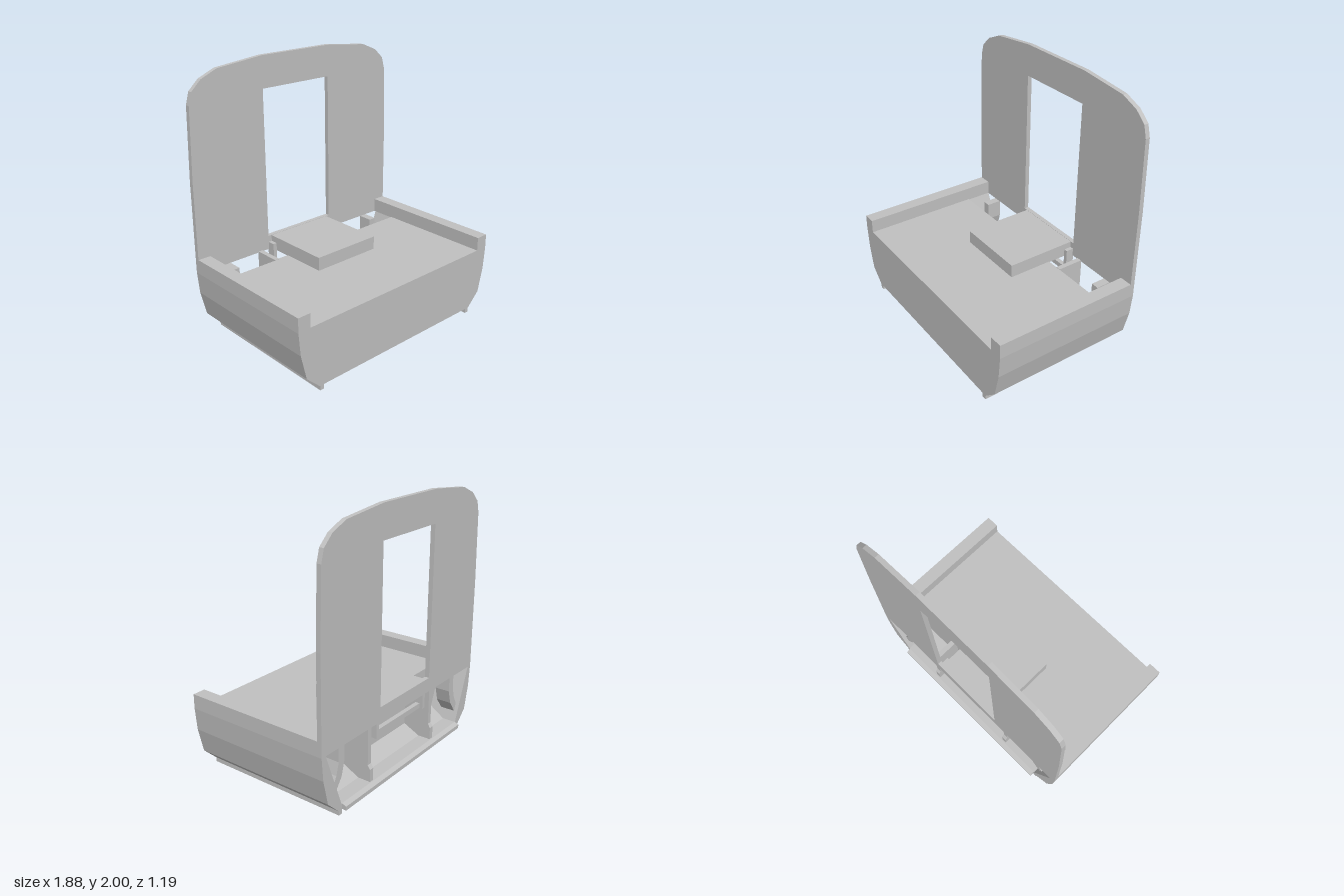
import * as THREE from 'three';

const grey = new THREE.MeshStandardMaterial({ color: 0xc0c0c0 });
grey.name = 'plain grey';

const polygon = (points) => new THREE.Shape(points.map(([x, y]) => new THREE.Vector2(x, y)));
const mirrored = (half) => [...half, ...half.map(([x, y]) => [-x, y]).reverse()];
const flip = (points) => points.map(([x, y]) => [-x, y]);

export function createModel() {
  const model = new THREE.Group();
  model.name = 'cabBody';

  const add = (name, geometry) => {
    const mesh = new THREE.Mesh(geometry, grey);
    mesh.name = name;
    model.add(mesh);
    return mesh;
  };
  // Box given by its limits on each axis
  const box = (name, x0, x1, y0, y1, z0, z1) =>
    add(name, new THREE.BoxGeometry(x1 - x0, y1 - y0, z1 - z0))
      .position.set((x0 + x1) / 2, (y0 + y1) / 2, (z0 + z1) / 2);
  // Outline in x, y pushed along z
  const slab = (name, shape, z0, z1) =>
    add(name, new THREE.ExtrudeGeometry(shape, { depth: z1 - z0, bevelEnabled: false }))
      .position.set(0, 0, z0);
  // Outline in z, y pushed along x
  const sidePlate = (name, points, x0, x1) => {
    const mesh = add(name, new THREE.ExtrudeGeometry(polygon(flip(points)), { depth: x1 - x0, bevelEnabled: false }));
    mesh.rotation.y = Math.PI / 2;
    mesh.position.x = x0;
  };

  // Solid lower body with raised side rails
  slab('lowerBody', polygon(mirrored([
    [0.77, 0.035], [0.88, 0.14], [0.925, 0.33], [0.94, 0.5],
    [0.94, 0.61], [0.84, 0.61], [0.84, 0.505],
  ])), -0.32, 0.595);

  // Upright rear wall with its doorway
  const wall = polygon(mirrored([
    [0.94, 0.5], [0.94, 1.2], [0.925, 1.74], [0.9, 1.83],
    [0.82, 1.905], [0.69, 1.96], [0.31, 2],
  ]));
  wall.holes.push(polygon([[-0.31, 0.61], [0.31, 0.61], [0.31, 1.76], [-0.31, 1.76]]));
  slab('rearWall', wall, -0.56, -0.525);

  // Floor of the rear bay, rising toward the body, and the tab behind it
  sidePlate('bayFloor', [[-0.56, 0.035], [-0.32, 0.035], [-0.32, 0.14], [-0.45, 0.075], [-0.56, 0.075]], -0.77, 0.77);
  sidePlate('rearTab', [[-0.595, 0.035], [-0.56, 0.035], [-0.56, 0.078], [-0.595, 0.065]], -0.735, 0.735);

  for (const side of [-1, 1]) {
    const span = (a, b) => (side > 0 ? [a, b] : [-b, -a]);
    const outline = (points) => polygon(side > 0 ? points : flip(points));

    // Tapered shell closing the side of the bay
    slab('bayShell', outline([
      [0.74, 0.035], [0.77, 0.035], [0.88, 0.14], [0.925, 0.33], [0.94, 0.5], [0.9, 0.5], [0.74, 0.075],
    ]), -0.56, -0.32);
    box('railEnd', ...span(0.84, 0.94), 0.5, 0.61, -0.525, -0.32);

    // Curved bracket inside the shell
    slab('curvedBracket', outline([
      [0.67, 0.5], [0.67, 0.36], [0.7, 0.25], [0.78, 0.14], [0.8, 0.2],
      [0.755, 0.28], [0.73, 0.37], [0.73, 0.5],
    ]), -0.53, -0.41);

    // Upright rib across the bay
    sidePlate('bayRib', [[-0.32, 0.06], [-0.32, 0.508], [-0.53, 0.508], [-0.53, 0.2],
      [-0.55, 0.17], [-0.55, 0.07]], ...span(0.37, 0.408));

    // Bracket beside the raised box and runner below the body
    box('boxBracket', ...span(0.28, 0.31), 0.36, 0.56, -0.53, -0.465);
    box('runner', ...span(0.735, 0.767), 0, 0.04, -0.56, 0.595);
  }

  // Raised box on the deck and the crossbar under it
  box('raisedBox', -0.28, 0.28, 0.5, 0.608, -0.53, 0.03);
  box('crossbar', -0.28, 0.28, 0.36, 0.4, -0.505, -0.47);

  return model;
}
